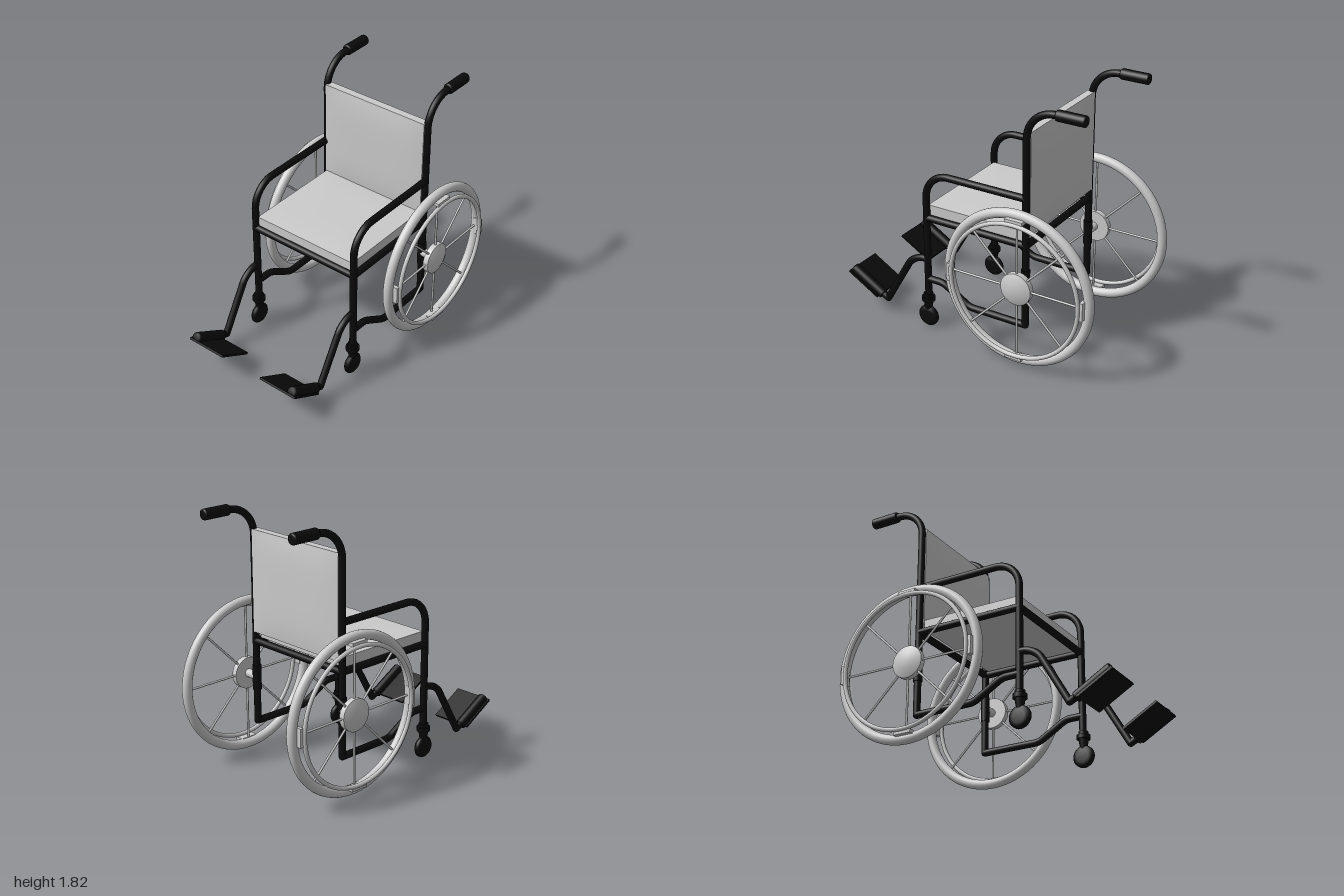
import * as THREE from 'three';

const grey = new THREE.MeshStandardMaterial({ color: 0xcccccc });
const black = new THREE.MeshStandardMaterial({ color: 0x0b0b0b });
const V = (x, y, z) => new THREE.Vector3(x, y, z);
const R = 0.025, SIDE = 0.425, REAR = -0.435, FRONT = 0.34;

function add(parent, name, geometry, material, x = 0, y = 0, z = 0) {
  const mesh = new THREE.Mesh(geometry, material);
  mesh.name = name;
  mesh.position.set(x, y, z);
  parent.add(mesh);
  return mesh;
}

// Bent tube through [y, z] points in one side plane, with a fillet at each corner
function bentTube(parent, name, points, fillets, segments = 60) {
  const pts = points.map(([y, z]) => V(SIDE, y, z));
  const path = new THREE.CurvePath();
  let from = pts[0];
  for (let i = 1; i < pts.length - 1; i++) {
    const p = pts[i], f = fillets[i - 1];
    const a = p.clone().add(pts[i - 1].clone().sub(p).setLength(f));
    const b = p.clone().add(pts[i + 1].clone().sub(p).setLength(f));
    path.add(new THREE.LineCurve3(from, a));
    path.add(new THREE.CubicBezierCurve3(a, a.clone().lerp(p, 0.55), b.clone().lerp(p, 0.55), b));
    from = b;
  }
  path.add(new THREE.LineCurve3(from, pts[pts.length - 1]));
  add(parent, name, new THREE.TubeGeometry(path, segments, R, 14), black);
  for (const end of [pts[0], pts[pts.length - 1]])
    add(parent, name + 'End', new THREE.SphereGeometry(R, 14, 10), black, end.x, end.y, end.z);
}

// Straight rod between two points
function rod(parent, name, a, b, r, material, sides = 16) {
  const mesh = add(parent, name, new THREE.CylinderGeometry(r, r, a.distanceTo(b), sides), material);
  mesh.position.copy(a).lerp(b, 0.5);
  mesh.quaternion.setFromUnitVectors(V(0, 1, 0), b.clone().sub(a).normalize());
}

// Foam grip with softened ends
function grip(parent, name, a, b, r) {
  const h = a.distanceTo(b) / 2, e = 0.012;
  const profile = [[0, -h], [r - e, -h], [r - 0.003, -h + 0.004], [r, -h + e],
    [r, h - e], [r - 0.003, h - 0.004], [r - e, h], [0, h]].map(p => new THREE.Vector2(...p));
  const mesh = add(parent, name, new THREE.LatheGeometry(profile, 24), black);
  mesh.position.copy(a).lerp(b, 0.5);
  mesh.quaternion.setFromUnitVectors(V(0, 1, 0), b.clone().sub(a).normalize());
}

// Slab whose thickness swells gently from the border to the middle
function cushionGeometry(w, t, d, edge) {
  const g = new THREE.BoxGeometry(w, t, d, 16, 2, 16);
  const p = g.attributes.position;
  for (let i = 0; i < p.count; i++) {
    const u = Math.abs(2 * p.getX(i) / w), v = Math.abs(2 * p.getZ(i) / d);
    const swell = (1 - u ** 4) * (1 - v ** 4);
    p.setY(i, p.getY(i) * (edge + (1 - edge) * swell));
  }
  g.computeVertexNormals();
  return g;
}

// Rear wheel, built around its own axle along x, outside facing +x
function buildWheel() {
  const wheel = new THREE.Group();
  wheel.name = 'rearWheel';
  add(wheel, 'tire', new THREE.TorusGeometry(0.526, 0.034, 18, 72), grey, 0.525).rotation.y = Math.PI / 2;
  add(wheel, 'handRim', new THREE.TorusGeometry(0.477, 0.015, 12, 72), grey, 0.587).rotation.y = Math.PI / 2;
  const hub = [[0, 0.515], [0.113, 0.515], [0.113, 0.515], [0.113, 0.555], [0.113, 0.555],
    [0.055, 0.58], [0, 0.58]].map(p => new THREE.Vector2(...p));
  add(wheel, 'hub', new THREE.LatheGeometry(hub, 32), grey).rotation.z = -Math.PI / 2;
  rod(wheel, 'axle', V(SIDE, 0, 0), V(0.53, 0, 0), 0.03, grey);
  for (let i = 0; i < 8; i++) {
    const a = i * Math.PI / 4, c = Math.cos(a), s = Math.sin(a);
    rod(wheel, 'spoke', V(0.535, 0.08 * s, 0.08 * c), V(0.535, 0.51 * s, 0.51 * c), 0.008, grey, 8);
  }
  for (let i = 0; i < 4; i++) {
    const a = i * Math.PI / 2;
    add(wheel, 'rimBracket', new THREE.BoxGeometry(0.06, 0.024, 0.13), grey,
      0.558, 0.498 * Math.cos(a), 0.498 * Math.sin(a)).rotation.x = a;
  }
  wheel.position.set(0, 0.575, REAR);
  return wheel;
}

// Small swivelling front wheel with its stem
function buildCaster() {
  const caster = new THREE.Group();
  caster.name = 'caster';
  const tread = [[0, -0.026], [0.045, -0.026], [0.066, -0.02], [0.077, -0.008],
    [0.077, 0.008], [0.066, 0.02], [0.045, 0.026], [0, 0.026]].map(p => new THREE.Vector2(...p));
  add(caster, 'casterWheel', new THREE.LatheGeometry(tread, 28), black, 0, 0.078, 0).rotation.z = Math.PI / 2;
  add(caster, 'casterStem', new THREE.CylinderGeometry(0.036, 0.024, 0.075, 16), black, 0, 0.168, 0);
  add(caster, 'casterCollar', new THREE.CylinderGeometry(0.047, 0.047, 0.03, 20), black, 0, 0.215, 0);
  add(caster, 'casterCap', new THREE.CylinderGeometry(0.034, 0.034, 0.03, 20), black, 0, 0.24, 0);
  caster.position.set(SIDE, 0, FRONT + 0.003);
  return caster;
}

// Everything on the +x side
function buildSide() {
  const side = new THREE.Group();
  bentTube(side, 'backPost', [[0.245, REAR], [1.785, REAR], [1.785, -0.82]], [0.2], 90);
  grip(side, 'pushHandle', V(SIDE, 1.787, -0.645), V(SIDE, 1.787, -0.855), 0.038);
  bentTube(side, 'armrest', [[1.17, REAR], [1.17, FRONT], [0.23, FRONT]], [0.18], 90);
  rod(side, 'seatRail', V(SIDE, 0.835, REAR), V(SIDE, 0.835, FRONT), R, black);
  bentTube(side, 'lowerTube', [[0.245, REAR], [0.245, 0], [0.37, 0.215], [0.37, FRONT]], [0.03, 0.03]);
  add(side, 'axleSleeve', new THREE.CylinderGeometry(0.031, 0.031, 0.18, 18), black, SIDE, 0.57, REAR);

  // Footrest hanger, side bar and thin plate
  bentTube(side, 'footrestHanger', [[0.52, FRONT], [0.52, 0.455], [0.11, 0.69]], [0.09]);
  rod(side, 'footrestStub', V(SIDE, 0.11, 0.69), V(SIDE, 0.14, 0.75), R, black);
  grip(side, 'footrestBar', V(SIDE, 0.125, 0.73), V(SIDE, 0.272, 0.983), 0.037);
  const plate = add(side, 'footPlate', new THREE.BoxGeometry(0.3, 0.016, 0.28), black, 0.318, 0.186, 0.878);
  plate.rotation.x = -Math.PI / 6;

  side.add(buildCaster(), buildWheel());
  return side;
}

export function createModel() {
  const model = new THREE.Group();
  model.name = 'wheelchair';

  // Mirrored sides (every part is symmetric about its own side plane or rule)
  const left = buildSide();
  left.name = 'leftSide';
  const right = buildSide();
  right.name = 'rightSide';
  right.scale.x = -1;
  model.add(left, right);

  // Cross bars under the seat
  for (const [name, z] of [['frontCrossbar', FRONT], ['rearCrossbar', REAR]])
    rod(model, name, V(-SIDE, 0.835, z), V(SIDE, 0.835, z), R, black);

  // Upholstery
  add(model, 'seat', cushionGeometry(0.82, 0.09, 0.74, 0.8), grey, 0, 0.89, -0.035);
  const back = add(model, 'backrest', cushionGeometry(0.83, 0.086, 0.72, 0.65), grey, 0, 1.267, -0.433);
  back.rotation.x = Math.PI / 2;

  return model;
}
